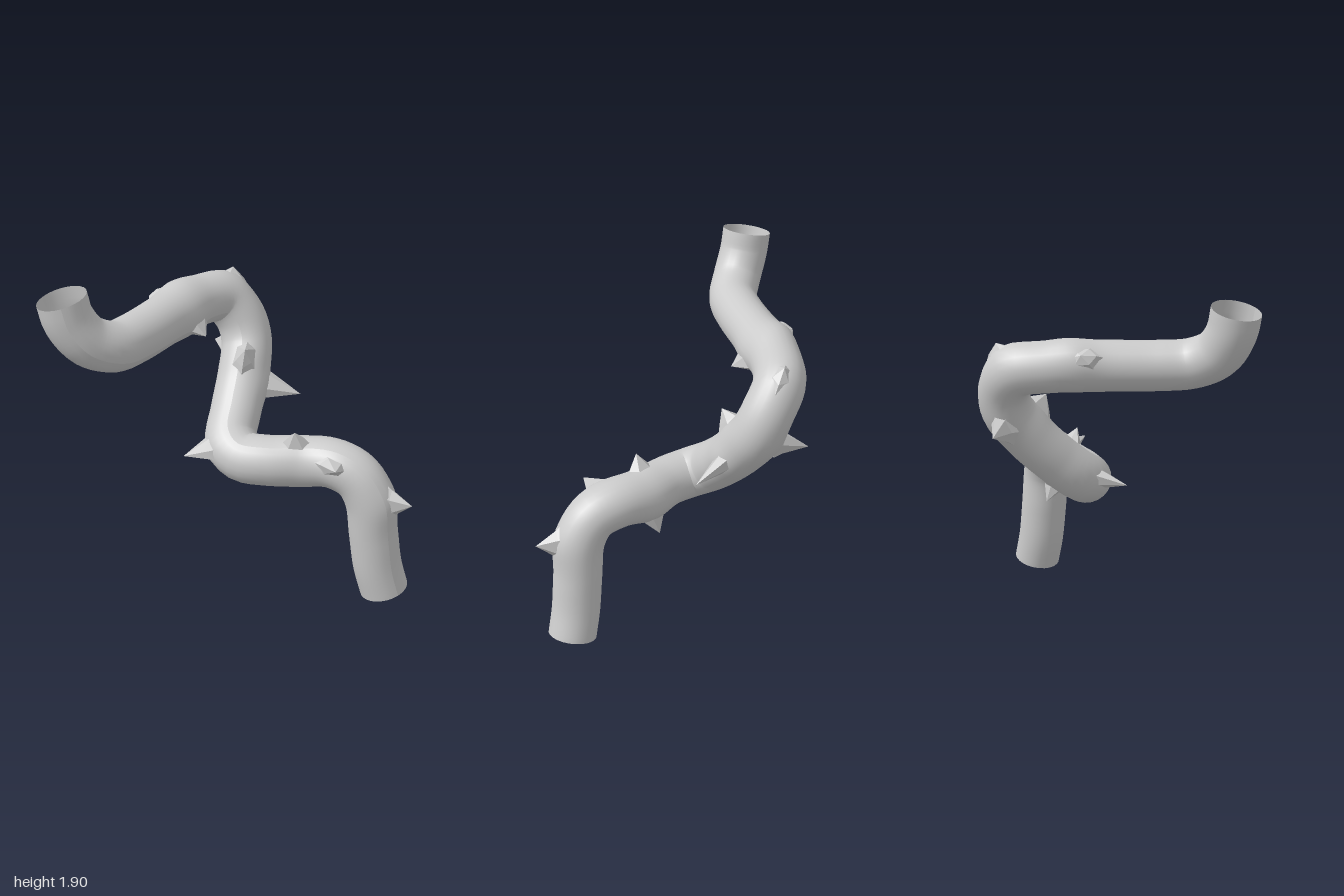
import * as THREE from 'three';

const RADIUS = 0.136;
const RINGS = 120;
const SIDES = 24;

// centre line of the stem, from the upper open end to the lower one
const PATH = [
  [-0.87, 1.87, 0.41], [-0.838, 1.75, 0.41], [-0.75, 1.625, 0.395], [-0.62, 1.555, 0.335],
  [-0.5, 1.54, 0.2], [-0.32, 1.54, -0.04], [-0.15, 1.535, -0.265], [0, 1.5, -0.385],
  [0.1, 1.39, -0.385], [0.14, 1.25, -0.335], [0.11, 1.1, -0.22], [0.06, 0.95, -0.07],
  [0.025, 0.84, 0.06], [0.07, 0.785, 0.165], [0.2, 0.78, 0.22], [0.4, 0.78, 0.245],
  [0.56, 0.795, 0.3], [0.69, 0.75, 0.37], [0.76, 0.63, 0.405], [0.793, 0.4, 0.41],
  [0.822, 0.2, 0.41], [0.865, 0.04, 0.41],
];

// thorns: approximate root on the centre line, then the tip
const THORNS = [
  [[0.11, 1.08, -0.2], [0.43, 1.0, -0.14]],
  [[0.04, 0.83, 0.1], [-0.25, 0.81, 0.2]],
  [[0.765, 0.62, 0.405], [0.975, 0.645, 0.545]],
  [[0.38, 0.785, 0.24], [0.4, 0.57, 0.13]],
  [[0.38, 0.785, 0.24], [0.35, 1.0, 0.32]],
  [[0.56, 0.8, 0.3], [0.55, 0.87, 0.54]],
  [[0.12, 1.2, -0.33], [-0.03, 1.16, -0.56]],
  [[0.12, 1.15, -0.23], [0.11, 1.31, -0.09]],
  [[-0.24, 1.54, -0.15], [-0.11, 1.44, 0]],
  [[0.03, 1.48, -0.39], [0.07, 1.655, -0.46]],
  [[-0.28, 1.54, -0.12], [-0.37, 1.63, -0.23]],
];

// soft lumps without a thorn: centre line point, then the crest
const LUMPS = [[[-0.24, 1.54, -0.2], [-0.25, 1.69, -0.22]]];

const vec = (a) => new THREE.Vector3(...a);

// faceted, flared spike growing out of the stem, stretched along it
function makeThorn(curve, samples, root, tip) {
  let best = 0;
  samples.forEach((p, i) => {
    if (p.distanceTo(root) < samples[best].distanceTo(root)) best = i;
  });
  const along = curve.getTangentAt(best / (samples.length - 1));
  const dir = tip.clone().sub(root);
  const length = dir.length();
  dir.normalize();
  const side = new THREE.Vector3().crossVectors(dir, along).normalize();
  const fore = new THREE.Vector3().crossVectors(side, dir);
  const profile = [[0.088, 0.1], [0.06, 0.14], [0.036, 0.14 + (length - 0.14) * 0.4], [0, length]]
    .map(([r, y]) => new THREE.Vector2(r, y));
  const geo = new THREE.LatheGeometry(profile, 6);
  geo.scale(0.85, 1, 1.35);
  geo.applyMatrix4(new THREE.Matrix4().makeBasis(side, dir, fore).setPosition(root));
  return geo;
}

// hollow stem, thicker mid-way and swollen around every thorn and lump
function makeStem(curve) {
  const geo = new THREE.TubeGeometry(curve, RINGS, RADIUS, SIDES, false);
  const swells = [...THORNS, ...LUMPS].map(([root, tip]) => {
    const dir = vec(tip).sub(vec(root)).normalize();
    return vec(root).addScaledVector(dir, RADIUS);
  });
  const pos = geo.attributes.position;
  const normal = geo.attributes.normal;
  const p = new THREE.Vector3();
  const n = new THREE.Vector3();
  for (let i = 0; i < pos.count; i++) {
    p.fromBufferAttribute(pos, i);
    n.fromBufferAttribute(normal, i);
    const t = Math.floor(i / (SIDES + 1)) / RINGS;
    let grow = 0.007 * Math.sin(Math.PI * t) ** 2;
    for (const s of swells) grow += 0.015 * Math.exp(-((p.distanceTo(s) / 0.1) ** 2));
    p.addScaledVector(n, grow);
    pos.setXYZ(i, p.x, p.y, p.z);
  }
  geo.computeVertexNormals();
  return geo;
}

export function createModel() {
  const group = new THREE.Group();
  group.name = 'thornyStem';
  const smooth = new THREE.MeshStandardMaterial({ color: 0xcccccc, side: THREE.DoubleSide });
  const flat = new THREE.MeshStandardMaterial({ color: 0xcccccc, side: THREE.DoubleSide, flatShading: true });
  const curve = new THREE.CatmullRomCurve3(PATH.map(vec), false, 'centripetal');

  // stem, open at both ends
  const stem = new THREE.Mesh(makeStem(curve), smooth);
  stem.name = 'stem';
  group.add(stem);

  // thorns
  const thorns = new THREE.Group();
  thorns.name = 'thorns';
  const samples = curve.getSpacedPoints(300);
  for (const [root, tip] of THORNS) {
    const thorn = new THREE.Mesh(makeThorn(curve, samples, vec(root), vec(tip)), flat);
    thorn.name = 'thorn';
    thorns.add(thorn);
  }
  group.add(thorns);
  return group;
}
